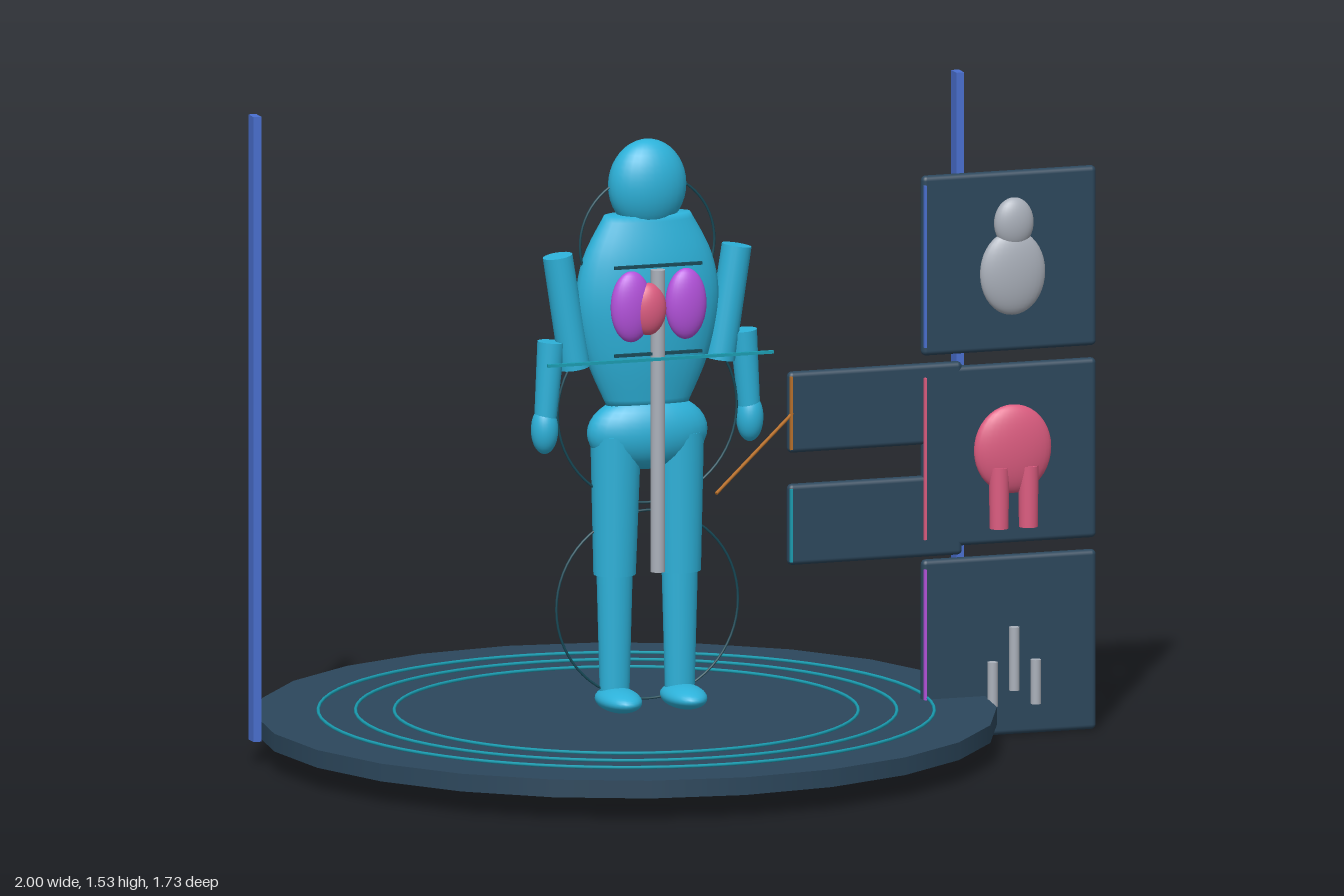
import * as THREE from 'three';
import { RoundedBoxGeometry } from 'three/addons/geometries/RoundedBoxGeometry.js';

const paint = (name, color) => Object.assign(new THREE.MeshStandardMaterial({ color }), { name });

export function createModel() {
  const slate = paint('slate', 0x2c475c), cyan = paint('cyan', 0x2db2da), blue = paint('blue', 0x4a70d0),
    pink = paint('pink', 0xdc5c80), purple = paint('purple', 0xb452dc), grey = paint('grey', 0xaab0ba),
    orange = paint('orange', 0xb8702a), teal = paint('teal', 0x1a9db2), darkTeal = paint('dark teal', 0x174a58);
  const model = new THREE.Group();
  const CX = -0.13, CZ = 0.152; // axis of the figure

  const add = (parent, name, geo, mat, x = 0, y = 0, z = 0) => {
    const m = new THREE.Mesh(geo, mat);
    m.name = name;
    m.position.set(x, y, z);
    parent.add(m);
    return m;
  };
  const group = (name, x = 0, z = 0) => {
    const g = new THREE.Group();
    g.name = name;
    g.position.set(x, 0, z);
    model.add(g);
    return g;
  };
  const ball = (parent, name, mat, p, r) => {
    const m = add(parent, name, new THREE.SphereGeometry(1, 28, 20), mat, ...p);
    m.scale.set(...r);
    return m;
  };
  // tapered rod from point a to point b
  const rod = (parent, name, mat, a, b, ra, rb = ra, sides = 20) => {
    const A = new THREE.Vector3(...a), B = new THREE.Vector3(...b), d = B.clone().sub(A);
    const m = add(parent, name, new THREE.CylinderGeometry(rb, ra, d.length(), sides), mat);
    m.position.copy(A).add(B).multiplyScalar(0.5);
    m.quaternion.setFromUnitVectors(new THREE.Vector3(0, 1, 0), d.normalize());
    return m;
  };

  // Round platform with three inlaid rings
  const base = group('platform', CX);
  add(base, 'disc', new THREE.CylinderGeometry(0.864, 0.864, 0.042, 24), slate, 0, 0.081, 0);
  for (const r of [0.54, 0.63, 0.717]) {
    add(base, 'floorRing', new THREE.TorusGeometry(r, 0.004, 6, 72), teal, 0, 0.106, 0).rotation.x = Math.PI / 2;
  }

  // Side posts
  for (const s of [-1, 1]) {
    add(model, 'post', new THREE.BoxGeometry(0.019, 1.48, 0.038), blue, CX + s * 0.863, 0.8, -0.145);
  }

  // Figure: head, trunk and hips
  const body = group('figure', CX, CZ);
  ball(body, 'head', cyan, [0, 1.378, 0], [0.094, 0.108, 0.063]);
  rod(body, 'neck', cyan, [0, 1.25, 0], [0, 1.33, 0], 0.05, 0.045).scale.z = 0.7;
  const profile = new THREE.SplineCurve([[0.1, 0.86], [0.148, 0.97], [0.174, 1.1], [0.157, 1.21], [0.105, 1.31]]
    .map(p => new THREE.Vector2(...p))).getPoints(20);
  const trunk = [new THREE.Vector2(0, 0.86), ...profile, new THREE.Vector2(0, 1.315)];
  add(body, 'torso', new THREE.LatheGeometry(trunk, 32), cyan).scale.z = 0.41;
  ball(body, 'hips', cyan, [0, 0.795, 0], [0.147, 0.09, 0.066]);

  // Limbs, mirrored
  for (const s of [-1, 1]) {
    rod(body, 'thigh', cyan, [s * 0.08, 0.46, 0], [s * 0.077, 0.79, 0], 0.05, 0.06).scale.z = 0.9;
    rod(body, 'shin', cyan, [s * 0.08, 0.17, 0], [s * 0.08, 0.47, 0], 0.035, 0.043).scale.z = 0.85;
    ball(body, 'foot', cyan, [s * 0.08, 0.167, 0.028], [0.05, 0.028, 0.09]);
    rod(body, 'upperArm', cyan, [s * 0.178, 0.955, 0], [s * 0.22, 1.222, 0], 0.036, 0.035);
    rod(body, 'forearm', cyan, [s * 0.25, 0.84, 0], [s * 0.236, 1.02, 0], 0.026, 0.032);
    ball(body, 'hand', cyan, [s * 0.252, 0.812, 0], [0.032, 0.057, 0.032]);
  }

  // Thin upright hoops around the figure
  for (const [y, r] of [[1.24, 0.165], [0.845, 0.22], [0.384, 0.223]]) {
    add(body, 'hoop', new THREE.TorusGeometry(r, 0.003, 6, 64), darkTeal, 0, y, 0);
  }

  // Organs, spine rod and scan bars in front of the chest
  const organs = group('organs', CX, 0.232);
  for (const s of [-1, 1]) ball(organs, 'lung', purple, [s * 0.067, 1.107, 0.003], [0.05, 0.084, 0.027]);
  ball(organs, 'heart', pink, [-0.027, 1.1, 0.006], [0.044, 0.062, 0.028]);
  rod(organs, 'spine', grey, [0, 0.475, -0.002], [0, 1.19, -0.002], 0.017);
  for (const [y, w] of [[1.2, 0.215], [0.992, 0.215], [0.982, 0.555]]) {
    add(organs, 'scanBar', new THREE.BoxGeometry(w, 0.007, 0.009), w > 0.3 ? teal : darkTeal, 0, y, w > 0.3 ? 0.017 : 0);
  }

  // Display panels with a coloured strip along the edge
  const panels = group('panels', 0, 0.071);
  const panel = (x, y, h, mat) => {
    add(panels, 'panel', new RoundedBoxGeometry(0.428, h, 0.025, 3, 0.012), slate, x, y, 0);
    add(panels, 'edgeStrip', new THREE.BoxGeometry(0.006, h * 0.9, 0.009), mat, x - 0.209, y, 0.016);
  };
  panel(0.784, 1.128, 0.426, blue);
  panel(0.784, 0.673, 0.426, pink);
  panel(0.784, 0.219, 0.426, purple);
  panel(0.455, 0.801, 0.192, orange);
  panel(0.455, 0.535, 0.192, teal);

  // Pointer from the top label to the hip
  rod(model, 'pointer', orange, [0.015, 0.65, 0.225], [0.25, 0.8, 0.083], 0.004, 0.004, 8);

  // Small figures on the three square panels
  const icons = group('icons', 0.78, 0.115);
  ball(icons, 'roundBody', grey, [0, 1.107, 0], [0.08, 0.1, 0.028]);
  ball(icons, 'roundHead', grey, [0.003, 1.225, 0], [0.048, 0.06, 0.026]);
  ball(icons, 'dome', pink, [0, 0.69, 0], [0.095, 0.105, 0.03]);
  for (const s of [-1, 1]) {
    rod(icons, 'domeLeg', pink, [s * 0.036, 0.505, 0.008], [s * 0.036, 0.65, 0.008], 0.022, 0.024);
  }
  for (const [x, y0, y1] of [[-0.053, 0.085, 0.19], [0, 0.12, 0.27], [0.053, 0.085, 0.19]]) {
    rod(icons, 'peg', grey, [x, y0, 0.012], [x, y1, 0.012], 0.012);
  }
  return model;
}
